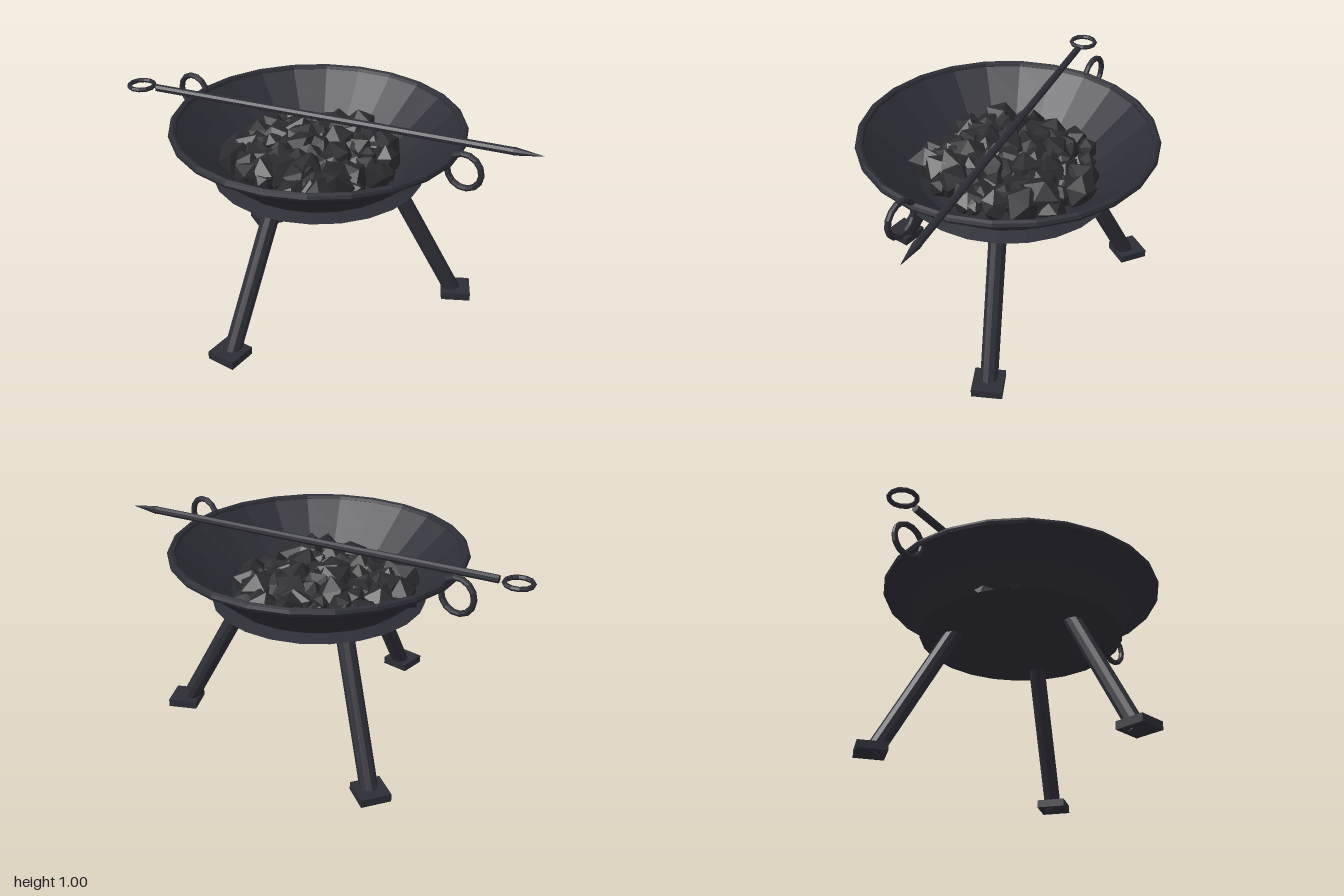
import * as THREE from 'three';
import { mergeVertices, mergeGeometries } from 'three/addons/utils/BufferGeometryUtils.js';

// Small seeded generator so the coals are always the same
function seeded(seed) {
  return () => {
    seed = (seed * 16807) % 2147483647;
    return seed / 2147483647;
  };
}

// Faceted normals for low-poly surfaces
function faceted(geometry) {
  const g = geometry.index ? geometry.toNonIndexed() : geometry;
  g.computeVertexNormals();
  return g;
}

function lathe(points, sides) {
  return faceted(new THREE.LatheGeometry(points.map(([x, y]) => new THREE.Vector2(x, y)), sides));
}

// Straight round bar between two points
function bar(a, b, radiusA, radiusB, sides) {
  const dir = b.clone().sub(a);
  const g = new THREE.CylinderGeometry(radiusB, radiusA, dir.length(), sides);
  g.applyQuaternion(new THREE.Quaternion().setFromUnitVectors(new THREE.Vector3(0, 1, 0), dir.normalize()));
  const mid = a.clone().add(b).multiplyScalar(0.5);
  return faceted(g.translate(mid.x, mid.y, mid.z));
}

// Irregular lump: an icosahedron with its corners pushed in and out
function lump(rand, size) {
  let g = new THREE.IcosahedronGeometry(size, 0);
  g.deleteAttribute('normal');
  g.deleteAttribute('uv');
  g = mergeVertices(g);
  const p = g.attributes.position;
  for (let i = 0; i < p.count; i++) {
    const k = 0.78 + rand() * 0.44;
    p.setXYZ(i, p.getX(i) * k, p.getY(i) * k, p.getZ(i) * k);
  }
  g.rotateX(rand() * 6.28).rotateY(rand() * 6.28);
  return faceted(g);
}

export function createModel() {
  const model = new THREE.Group();
  model.name = 'firePit';
  const iron = new THREE.MeshStandardMaterial({ color: 0x2d2d36 });
  iron.name = 'dark iron';
  const charcoal = new THREE.MeshStandardMaterial({ color: 0x2b2b2f });
  charcoal.name = 'charcoal';

  const add = (parent, name, geometry, material = iron) => {
    const mesh = new THREE.Mesh(geometry, material);
    mesh.name = name;
    parent.add(mesh);
    return mesh;
  };

  // Everything but the poker sits around the bowl's axis
  const brazier = new THREE.Group();
  brazier.name = 'brazier';
  brazier.position.set(-0.003, 0, -0.033);
  model.add(brazier);

  // Bowl with thin walls
  add(brazier, 'bowl', lathe([
    [0, 0.675], [0.40, 0.675], [0.425, 0.705], [0.55, 0.815], [0.672, 0.915],
    [0.655, 0.928], [0.53, 0.82], [0.41, 0.72], [0.36, 0.70], [0, 0.695],
  ], 24));

  // Rolled rim
  const rim = new THREE.TorusGeometry(0.667, 0.019, 8, 24).rotateX(Math.PI / 2);
  add(brazier, 'rim', faceted(rim)).position.y = 0.923;

  // Base plate with a flared lip
  add(brazier, 'basePlate', lathe([
    [0, 0.663], [0.41, 0.663], [0.497, 0.69], [0.43, 0.705], [0, 0.705],
  ], 24));

  // Ring handles on both sides
  for (const side of [-1, 1]) {
    const ring = faceted(new THREE.TorusGeometry(0.08, 0.014, 8, 14));
    add(brazier, side > 0 ? 'leftHandle' : 'rightHandle', ring).position.set(side * 0.741, 0.905, 0);
  }

  // Three splayed legs with square feet
  for (let i = 0; i < 3; i++) {
    const leg = new THREE.Group();
    leg.name = ['frontLeg', 'leftLeg', 'rightLeg'][i];
    leg.rotation.y = -0.026 + (i * Math.PI * 2) / 3;
    brazier.add(leg);
    add(leg, 'legTube', bar(new THREE.Vector3(0, 0.02, 0.686), new THREE.Vector3(0, 0.69, 0.325), 0.041, 0.041, 10));
    add(leg, 'foot', new THREE.BoxGeometry(0.14, 0.038, 0.14)).position.set(0, 0.041, 0.69);
  }

  // Heap of coals, spread as a sunflower spiral and higher in the middle
  const rand = seeded(4217);
  const coals = [];
  const count = 85;
  for (let i = 0; i < count; i++) {
    const r = 0.38 * Math.sqrt((i + 0.5) / count);
    const a = i * 2.39996 + rand() * 0.4;
    const size = 0.045 + rand() * 0.05;
    const y = 0.735 + 0.045 * (1 - r / 0.38) + rand() * 0.025;
    coals.push(lump(rand, size).translate(r * Math.cos(a) - 0.03, y, r * Math.sin(a)));
  }
  add(brazier, 'coals', mergeGeometries(coals), charcoal);

  // Poker resting across the rim
  const poker = new THREE.Group();
  poker.name = 'poker';
  model.add(poker);
  const start = new THREE.Vector3(-0.845, 0.953, 0.125);
  const neck = new THREE.Vector3(0.87, 0.953, -0.232);
  const tip = new THREE.Vector3(0.998, 0.953, -0.259);
  add(poker, 'pokerRod', bar(start, neck, 0.018, 0.018, 8));
  add(poker, 'pokerTip', bar(neck, tip, 0.02, 0.001, 8));
  const loop = new THREE.TorusGeometry(0.061, 0.011, 6, 12).rotateX(Math.PI / 2);
  add(poker, 'pokerRing', faceted(loop)).position.set(-0.928, 0.953, 0.142);

  return model;
}
